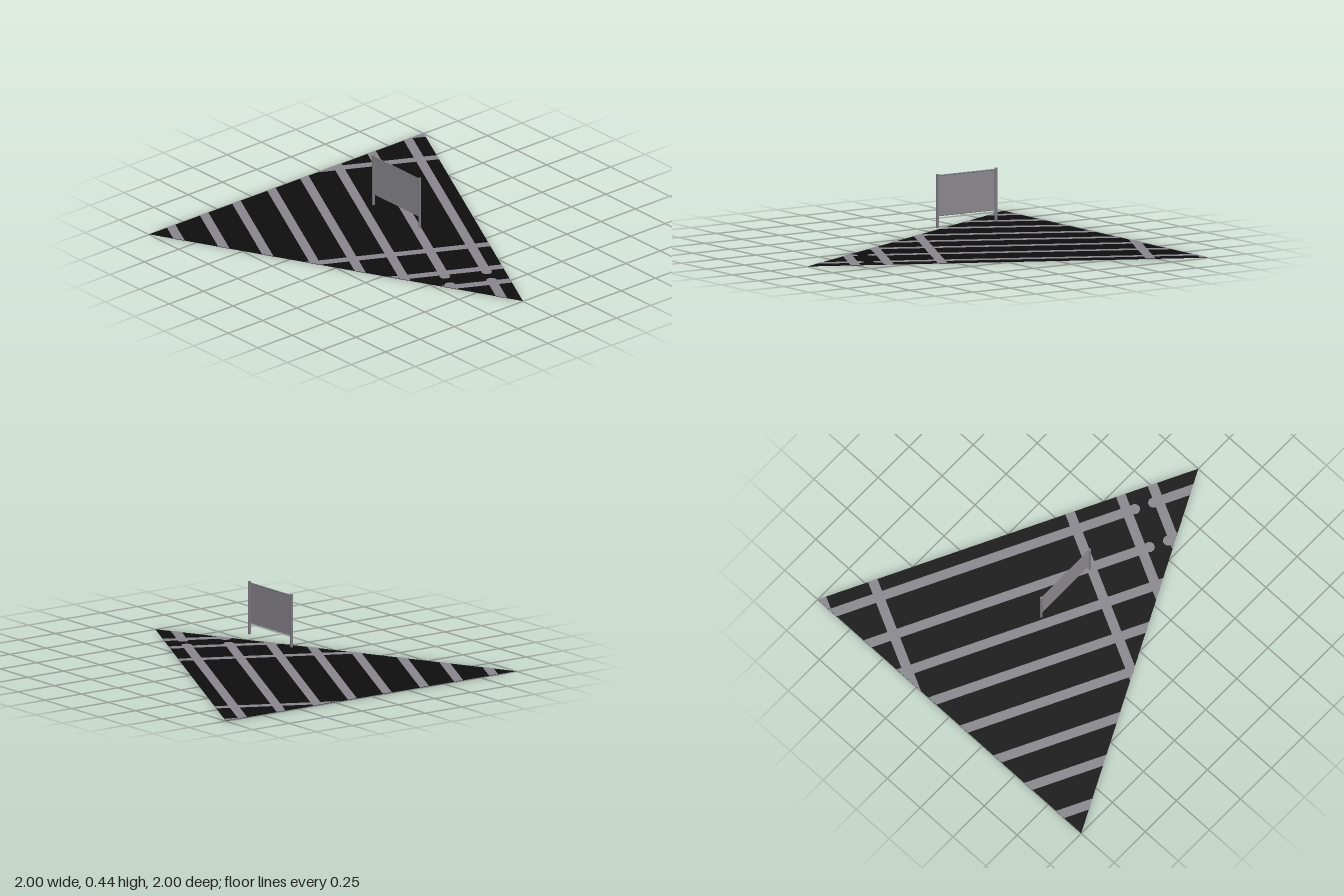
import * as THREE from 'three';

const roadGrey = new THREE.MeshStandardMaterial({ color: 0x88868c, side: THREE.DoubleSide });
const groundBlack = new THREE.MeshStandardMaterial({ color: 0x0d0d0d, side: THREE.DoubleSide });
const postGrey = new THREE.MeshStandardMaterial({ color: 0x7c7a80 });
roadGrey.name = 'roadGrey';
groundBlack.name = 'groundBlack';
postGrey.name = 'postGrey';

// Ground triangle in (x, z)
const corners = [[-1, -1], [1, 0], [-1, 1]].map(([x, z]) => new THREE.Vector2(x, z));
// Street axes: u runs along the upper ground edge, v across it, both from the first corner
const along = new THREE.Vector2(2, 1).normalize();
const across = new THREE.Vector2(-1, 2).normalize();
const place = (u, v) => corners[0].clone().addScaledVector(along, u).addScaledVector(across, v);

// Trim a convex outline to the ground triangle
function clip(points) {
  let out = points;
  corners.forEach((a, i) => {
    const edge = corners[(i + 1) % 3].clone().sub(a);
    const side = (p) => edge.cross(p.clone().sub(a));
    const input = out;
    out = [];
    input.forEach((p, j) => {
      const q = input[(j + 1) % input.length];
      const sp = side(p), sq = side(q);
      if (sp >= 0) out.push(p);
      if ((sp >= 0) !== (sq >= 0)) out.push(p.clone().lerp(q, sp / (sp - sq)));
    });
  });
  return out;
}

function flatGeometry(outlines) {
  const shapes = outlines.filter((o) => o.length > 2).map((o) => new THREE.Shape(o));
  return new THREE.ShapeGeometry(shapes).rotateX(Math.PI / 2);
}

export function createModel() {
  const model = new THREE.Group();
  const add = (name, geometry, material, x = 0, y = 0, z = 0) => {
    const mesh = new THREE.Mesh(geometry, material);
    mesh.name = name;
    mesh.position.set(x, y, z);
    model.add(mesh);
  };

  add('ground', flatGeometry([corners]), groundBlack, 0, 0.002, 0);

  // Streets: outlines in street axes
  const half = 0.0275;
  const outlines = [];
  const strip = (u0, u1, v0, v1) =>
    outlines.push(clip([place(u0, v0), place(u1, v0), place(u1, v1), place(u0, v1)]));
  const disc = (u, v, r) => {
    const ring = [];
    for (let i = 0; i < 12; i++) {
      const a = (i / 12) * Math.PI * 2;
      ring.push(place(u + r * Math.cos(a), v + r * Math.sin(a)));
    }
    outlines.push(clip(ring));
  };

  // Long streets, given by z where they meet the x = -1 edge
  const streetV = [-0.885, -0.62, -0.37, -0.13, 0.11, 0.365, 0.6, 0.84].map((z) => (z + 1) * across.y);
  streetV.forEach((v, i) => {
    if (i < 2) {
      // the first two are interrupted near the tip
      strip(-0.5, 1.825, v - half, v + half);
      strip(1.935, 2.6, v - half, v + half);
      disc(1.825, v, 0.03);
      disc(1.935, v, 0.03);
    } else strip(-0.5, 2.6, v - half, v + half);
  });

  // Cross streets with widened junctions
  for (const u of [0.022, 0.323, 1.482, 1.78, 1.966]) {
    strip(u - half, u + half, -0.1, 2);
    if (u > 0.1) streetV.forEach((v) => disc(u, v, 0.038));
  }
  const streets = flatGeometry(outlines);
  add('streetsTop', streets, roadGrey, 0, 0.004, 0);
  add('streetsUnderside', streets, roadGrey);

  // Raised sign panel between two posts
  add('signPanel', new THREE.BoxGeometry(0.375, 0.226, 0.005), roadGrey, -0.065, 0.32, 0);
  const post = new THREE.CylinderGeometry(0.008, 0.008, 0.3, 12);
  for (const x of [-0.262, 0.128]) add('signPost', post, postGrey, x, 0.29, 0);
  const rail = new THREE.CylinderGeometry(0.004, 0.004, 0.385, 8).rotateZ(Math.PI / 2);
  for (const y of [0.207, 0.431]) add('signRail', rail, postGrey, -0.067, y, 0);

  return model;
}
